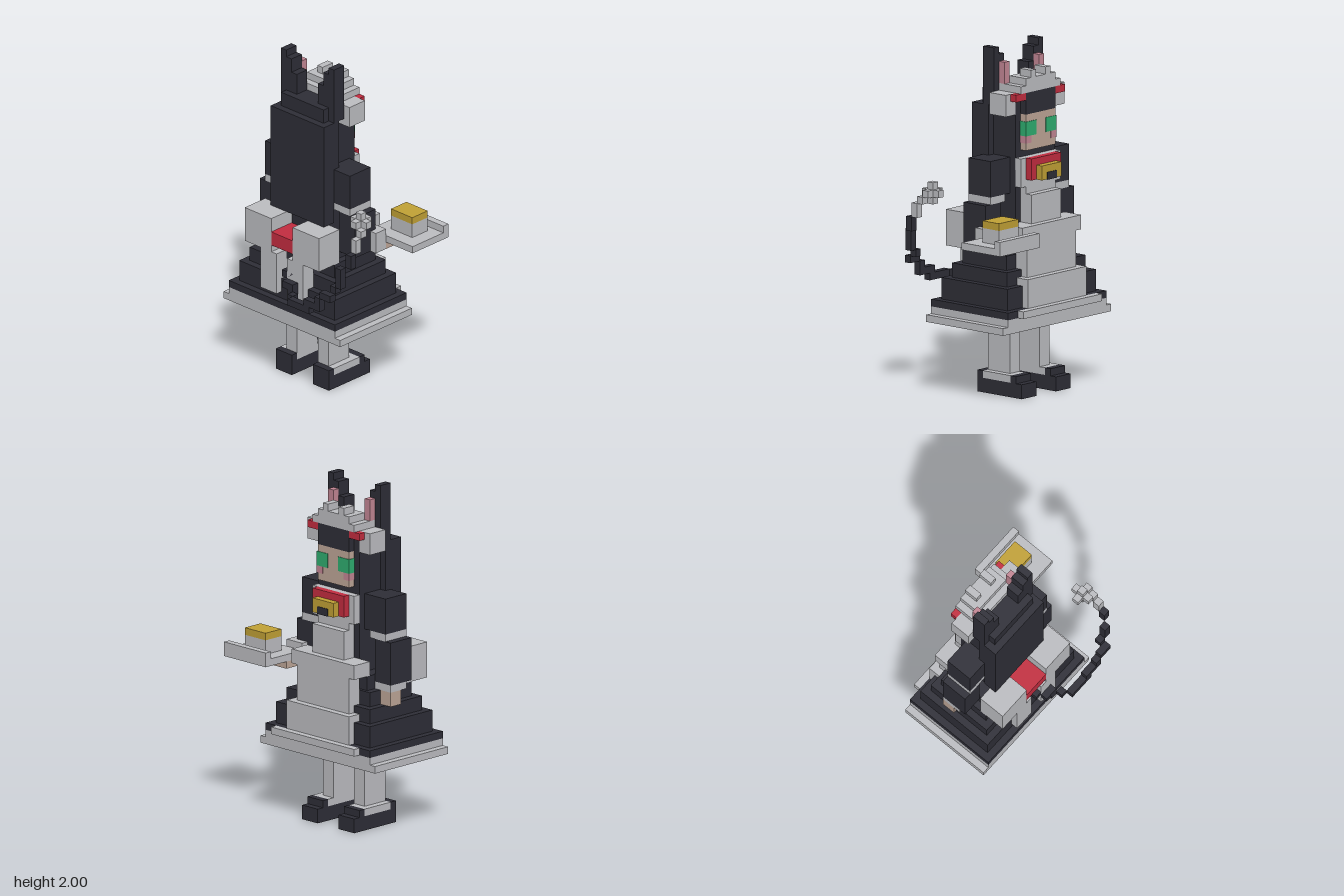
import * as THREE from 'three';

const U = 1 / 24; // one block of the grid

export function createModel() {
  const model = new THREE.Group();
  model.name = 'catMaid';

  const mat = (name, color) => {
    const m = new THREE.MeshStandardMaterial({ color });
    m.name = name;
    return m;
  };
  const dark = mat('charcoal', 0x2e2e37);
  const white = mat('paleGrey', 0xbdbec2);
  const red = mat('red', 0xc42d40);
  const gold = mat('gold', 0xc2a236);
  const skin = mat('skin', 0xbfa798);
  const green = mat('green', 0x2fae70);
  const pink = mat('pink', 0xc48795);

  // Box given by its two corners in block units
  const box = (name, m, x0, x1, y0, y1, z0, z1) => {
    const mesh = new THREE.Mesh(new THREE.BoxGeometry((x1 - x0) * U, (y1 - y0) * U, (z1 - z0) * U), m);
    mesh.position.set((x0 + x1) / 2 * U, (y0 + y1) / 2 * U, (z0 + z1) / 2 * U);
    mesh.name = name;
    model.add(mesh);
  };
  // The same box on both sides of the body, whose middle is x = -2
  const pair = (name, m, x0, x1, ...rest) => {
    box(name, m, x0, x1, ...rest);
    box(name, m, -4 - x1, -4 - x0, ...rest);
  };
  const cell = (name, m, x, y, z) => box(name, m, x, x + 1, y, y + 1, z, z + 1);

  // Shoes and stockings
  pair('shoeSole', dark, 0, 3, 0, 2, -5, 3);
  pair('shoeHeel', dark, 0, 3, 2, 3, 2, 3);
  pair('shoeToe', dark, 0, 3, 2, 3, -4, -3);
  pair('sock', white, 0, 3, 2, 3, -3, 2);
  pair('stocking', white, 0, 2, 3, 9, -2, 2);
  pair('garter', red, 0, 2, 9, 10, -2, 2);

  // Skirt: frill and stepped tiers
  box('lowerFrill', white, -13, 9, 10, 11, -7, 7);
  box('upperFrill', white, -12, 8, 11, 12, -7, 7);
  box('skirtHem', dark, -12, 8, 12, 13, -7, 7);
  [[9, 13, 16, 6], [8, 16, 18, 5], [7, 18, 20, 4], [6, 20, 22, 3.5]].forEach(([h, y0, y1, d]) =>
    box('skirtTier', dark, -2 - h, -2 + h, y0, y1, -d, d));

  // Apron
  box('apronHem', white, -10, 6, 12, 13, -8, -7);
  box('apronLower', white, -8, 4, 13, 17, -7, -5);
  box('apronMiddle', white, -7, 3, 17, 22, -6, -4);
  box('apronBelt', white, -8, 4, 22, 24, -6, -3);
  box('apronBib', white, -5, 1, 24, 28, -5, -3);
  box('apronChest', white, -5, 1, 28, 30, -4, -3);
  box('collar', white, -6, 2, 29, 33, -4, -2.9);

  // Torso and arms
  box('torso', dark, -6, 2, 22, 33, -3, 3);
  pair('upperSleeve', dark, 2, 6, 28, 33, -2, 2);
  pair('sleeveBand', white, 3, 6, 27, 28, -2, 2);
  box('rightForearm', dark, -11, -8, 21, 27, -2, 2);
  box('rightCuff', white, -11, -8, 20, 21, -2, 1);
  box('rightHand', skin, -11, -9, 18, 20, -2, 0);
  box('leftForearm', dark, 4, 7, 21, 27, -2, 2);
  box('leftCuff', white, 5, 8, 21, 24, -3, -1);
  box('leftHand', skin, 5, 8, 21, 22, -6, -3);

  // Tray with cake
  box('tray', white, 5, 13, 22, 23, -10, -3);
  box('trayRim', white, 5, 13, 23, 24, -10, -9);
  box('cake', white, 7, 11, 23, 25, -8, -5);
  box('cakeTopping', gold, 7, 11, 25, 26, -8, -5);

  // Neck bow and bell
  box('neckBow', red, -5, 1, 30, 33, -5, -4);
  box('bell', gold, -4, 0, 30, 32, -6, -5);
  box('bellSlot', dark, -3, -1, 29.95, 31, -6.1, -5.5);

  // Bow on the back of the apron
  pair('backBowLoop', white, 0, 5, 20, 25, 3, 7);
  pair('backBowTail', white, -1, 2, 14, 20, 5, 7);
  box('backBowKnot', red, -4, 0, 21, 23, 3, 7);

  // Head, face and hair
  box('head', dark, -6, 2, 33, 42, -3, 3);
  box('fringe', dark, -5, 1, 39, 42, -4, -3);
  box('face', skin, -5, 1, 34, 39, -4, -3);
  pair('eye', green, -1, 1.1, 36, 38, -4.1, -3);
  pair('cheek', pink, 0, 1.1, 35, 36, -4.1, -3);
  box('hairUpper', dark, -7, 3, 33, 40, 1, 4);
  box('hairLower', dark, -7, 3, 25, 33, 2, 4);

  // Headdress
  pair('headdressSide', white, 2, 4, 39, 42, -3, 0);
  pair('headdressRibbon', red, 1, 3, 41, 42, -4, -3);
  box('headdressBand', white, -6, 2, 42, 43, -4, 0);
  box('headdressRuffle', white, -5, 1, 43, 44, -4, -1);
  pair('headdressPeak', white, -1, 0, 44, 45, -4, -2);

  // Ears: three columns stepping up outwards
  [45, 47, 48].forEach((top, i) => pair('ear', dark, i, i + 1, i === 2 ? 40 : 42, top, 0, 2));
  pair('innerEar', pink, 1, 2, 43, 46, -1, 0);

  // Tail of single blocks, ending in a pale tip
  [[-2, 17, 6], [-1, 17, 6], [-1, 16, 7], [0, 16, 7], [0, 15, 7], [1, 15, 8], [2, 15, 9], [3, 15, 9],
    [4, 15, 9], [5, 15, 9], [5, 16, 9], [6, 16, 9], [7, 16, 9], [7, 17, 9], [8, 18, 9], [9, 18, 9],
    [9, 19, 8], [10, 20, 8], [10, 21, 8], [10, 22, 8], [11, 23, 7], [11, 24, 7],
  ].forEach((p) => cell('tail', dark, ...p));
  [[11, 25, 6], [11, 26, 6], [11, 27, 5], [10, 28, 5]].forEach((p) => cell('tailTip', white, ...p));
  box('tailTuft', white, 9, 12, 28, 29, 4, 5);
  box('tailTuft', white, 10, 11, 27, 30, 4, 5);
  box('tailTuft', white, 10, 11, 28, 29, 3, 6);

  return model;
}
